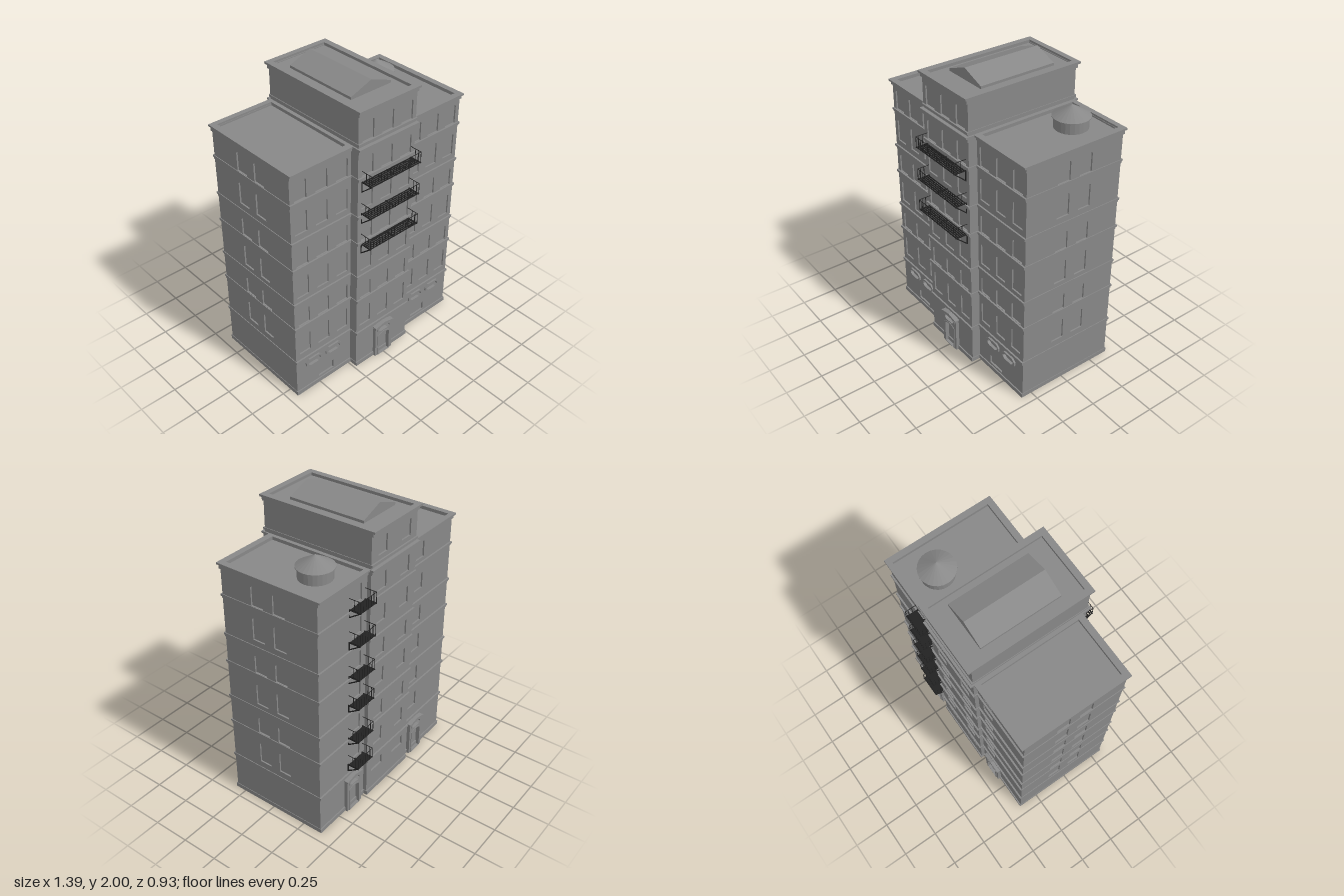
import * as THREE from 'three';
import { mergeGeometries } from 'three/addons/utils/BufferGeometryUtils.js';

const mat = new THREE.MeshStandardMaterial({ color: 0x888888, flatShading: true });
const ironMat = new THREE.MeshStandardMaterial({ color: 0x222222, flatShading: true });
const LEVELS = [[0.34, 0.5], [0.575, 0.705], [0.8, 0.96], [1.035, 1.17], [1.27, 1.43], [1.5, 1.64]];
const TOP_LEVEL = [1.73, 1.87];
const BACK_SILLS = [0.38, 0.595, 0.85, 1.065, 1.305, 1.525];
const T = 0.014; // thickness of the outer wall skin
// Wall faces: half widths, then front and back of wings and tower
const WX = 0.686, TX = 0.23, WF = 0.319, TF = 0.379, WB = 0.384, TB = 0.41;

function add(parent, name, geometry, material = mat) {
  const mesh = new THREE.Mesh(geometry, material);
  mesh.name = name;
  parent.add(mesh);
  return mesh;
}

const poly = (pts) => pts.map(([x, y]) => new THREE.Vector2(x, y));
const rect = (x0, y0, x1, y1) => poly([[x0, y0], [x1, y0], [x1, y1], [x0, y1]]);
const box = (x0, x1, y0, y1, z0, z1) =>
  new THREE.BoxGeometry(x1 - x0, y1 - y0, z1 - z0).translate((x0 + x1) / 2, (y0 + y1) / 2, (z0 + z1) / 2);

function extrude(outline, holes, depth) {
  const shape = new THREE.Shape(outline);
  shape.holes = holes.map((h) => new THREE.Path(h));
  return new THREE.ExtrudeGeometry(shape, { depth, bevelEnabled: false });
}

// Horizontal slab from a plan outline, shape y being -z
const slab = (outline, holes, y0, y1) =>
  extrude(outline, holes, y1 - y0).rotateX(-Math.PI / 2).translate(0, y0, 0);

// Cross-shaped plan of wings plus tower, offset by o; mouldings stand out less at the sides
function plan(o) {
  const ox = o < 0 ? o : 0.4 * o;
  const t = TX + ox, w = WX + ox, tf = -TF - o, wf = -WF - o, wb = WB + o, tb = TB + o;
  return poly([[-w, wf], [-t, wf], [-t, tf], [t, tf], [t, wf], [w, wf],
    [w, wb], [t, wb], [t, tb], [-t, tb], [-t, wb], [-w, wb]]);
}

// Window opening with a shallow segmental arch
function arched(cx, [y0, y1], w = 0.09) {
  const pts = [[cx - w / 2, y0], [cx + w / 2, y0]];
  for (let i = 0; i <= 8; i++) {
    const u = 1 - i / 4;
    pts.push([cx + u * w / 2, y1 - 0.018 * u * u]);
  }
  return poly(pts);
}

// Long eight-sided opening
const octagon = (cx, cy, w, h) => poly([[-1, -0.35], [-0.65, -1], [0.65, -1], [1, -0.35],
  [1, 0.35], [0.65, 1], [-0.65, 1], [-1, 0.35]].map(([a, b]) => [cx + a * w / 2, cy + b * h / 2]));

// Wall skin with openings; angle turns it to face its side
function wall(parent, name, x0, x1, y0, y1, holes, face, angle) {
  const m = add(parent, name, extrude(rect(x0, y0, x1, y1), holes, T).translate(0, 0, face - T));
  m.rotation.y = angle;
}

// Door surround with low pediment, leaf frame and fanlight
function doorway(parent, name, x, face, angle) {
  const g = new THREE.Group();
  g.name = name;
  const holes = [arched(0, [0.004, 0.19], 0.105), octagon(0, 0.223, 0.11, 0.044)];
  add(g, 'doorSurround', extrude(poly([[-0.075, 0], [0.075, 0], [0.075, 0.25], [0, 0.265], [-0.075, 0.25]]), holes, 0.024));
  add(g, 'doorHood', extrude(poly([[-0.08, 0.247], [0.08, 0.247], [0.08, 0.255], [0, 0.272], [-0.08, 0.255]]), [], 0.032));
  add(g, 'doorFrame', extrude(arched(0, [0, 0.19], 0.112), [arched(0, [0.004, 0.182], 0.092)], 0.028));
  add(g, 'fanlightFrame', extrude(octagon(0, 0.223, 0.116, 0.05), [octagon(0, 0.223, 0.096, 0.036)], 0.028));
  g.rotation.y = angle;
  g.position.set(x, 0, face);
  parent.add(g);
}

// Iron balcony: slatted deck, railing and diagonal brackets; wall at z = 0
function balcony(parent, name, w, d, drop, nSlats, pos, angle) {
  const h = w / 2, r = 0.0014, parts = [];
  for (let i = 0; i < nSlats; i++) {
    const z = 0.012 + (d - 0.015) * i / (nSlats - 1);
    parts.push(box(-h, h, -0.003, 0.003, z - 0.003, z + 0.003));
  }
  for (const x of [-h, 0, h]) parts.push(box(x - 0.003, x + 0.003, -0.007, -0.001, 0, d));
  const n = Math.round(w / 0.025);
  for (let i = 0; i <= n; i++) {
    const x = -h + w * i / n;
    parts.push(box(x - r, x + r, 0, 0.072, d - 2 * r, d));
  }
  parts.push(box(-h, h, 0.069, 0.072, d - 2 * r, d));
  for (const s of [-h, h]) {
    for (const z of [d * 0.45, d * 0.75]) parts.push(box(s - r, s + r, 0, 0.072, z - r, z + r));
    parts.push(box(s - r, s + r, 0.069, 0.072, 0, d));
    parts.push(box(s - 0.003, s + 0.003, -drop, 0, 0, 0.005));
    const strut = new THREE.BoxGeometry(0.006, 0.006, Math.hypot(drop, d));
    parts.push(strut.rotateX(-Math.atan2(drop, d)).translate(s, -drop / 2, d / 2));
  }
  const m = add(parent, name, mergeGeometries(parts), ironMat);
  m.position.set(...pos);
  m.rotation.y = angle;
}

export function createModel() {
  const model = new THREE.Group();
  model.name = 'apartmentBuilding';
  const Q = Math.PI / 2;

  // Hollow ground storey, open underneath, with solid cores above
  add(model, 'groundShell', slab(plan(-T + 0.002), [plan(-0.02)], 0, 0.28));
  add(model, 'plinth', slab(plan(0.008), [plan(-0.018)], 0, 0.03));
  for (const s of [-1, 1]) {
    const [a, b] = s > 0 ? [0.2, WX - 0.01] : [0.01 - WX, -0.2];
    add(model, 'wingCore', box(a, b, 0.28, 1.68, 0.01 - WB, WF - 0.01));
  }
  add(model, 'towerCore', box(0.01 - TX, TX - 0.01, 0.28, 1.925, 0.01 - TB, TF - 0.01));

  // Walls
  const windows = (xs, levels) => xs.flatMap((x) => levels.map((l) => arched(x, l)));
  for (const s of [-1, 1]) {
    const holes = windows([0.3, 0.455, 0.61].map((x) => x * s), LEVELS);
    for (const x of [0.38, 0.545]) {
      holes.push(octagon(x * s, 0.225, 0.12, 0.056));
      add(model, 'octagonWindowFrame', extrude(octagon(x * s, 0.225, 0.132, 0.068),
        [octagon(x * s, 0.225, 0.102, 0.042)], 0.02)).position.z = WF - 0.008;
    }
    // Cellar vent
    const v = s > 0 ? 0.408 : -0.44;
    holes.push(rect(v - 0.063, 0.045, v + 0.063, 0.11));
    const [a, b] = s > 0 ? [TX - 0.005, WX] : [-WX, 0.005 - TX];
    wall(model, 'wingFrontWall', a, b, 0, 1.69, holes, WF, 0);
    // Back wall; its own x runs the other way
    const back = BACK_SILLS.map((y) => rect(-s * 0.325 - 0.045, y, -s * 0.325 + 0.045, y + 0.11));
    wall(model, 'wingBackWall', -b, -a, 0, 1.69, back, WB, Math.PI);
    // Side wall with two windows per floor
    const [c, d] = s > 0 ? [-WF, WB] : [-WB, WF];
    wall(model, 'wingSideWall', c, d, 0, 1.69, windows([-s * 0.05, s * 0.11], LEVELS), WX, s * Q);
    // Tower flanks, leaving the ground storey open inside
    const [e, f] = s > 0 ? [-TF, TB] : [-TB, TF];
    wall(model, 'towerSideWall', e, f, 0.28, 1.93, [], TX, s * Q);
    const [g, h] = s > 0 ? [TX - T, TX] : [-TX, T - TX];
    add(model, 'towerFrontReturn', box(g, h, 0, 0.28, WF - T, TF));
    add(model, 'towerBackReturn', box(g, h, 0, 0.28, -TB, T - WB));
  }
  wall(model, 'towerFrontWall', -TX, TX, 0, 1.93,
    windows([-0.155, 0, 0.155], [...LEVELS, TOP_LEVEL]), TF, 0);
  const towerBack = [-0.12, 0.12].flatMap((x) => [
    rect(x - 0.06, 0.165, x + 0.06, 0.235),
    ...[...BACK_SILLS, 1.76].map((y) => rect(x - 0.045, y, x + 0.045, y + 0.11))]);
  wall(model, 'towerBackWall', -TX, TX, 0, 1.93, towerBack, TB, Math.PI);

  // Ledges between the floors
  for (const y of [0.29, 0.567, 0.765, 1.028, 1.225, 1.493]) {
    add(model, 'floorLedge', slab(plan(0.005), [], y - 0.02, y - 0.008));
    add(model, 'floorLedgeLip', slab(plan(0.011), [], y - 0.008, y + 0.006));
  }
  add(model, 'towerLedge', box(-TX - 0.004, TX + 0.004, 1.715, 1.73, -TB - 0.01, TF + 0.01));

  // Cornices with sunken roofs
  const wingRoofs = [rect(0.255, -0.3, 0.655, 0.373), rect(-0.655, -0.3, -0.255, 0.373)];
  add(model, 'wingCornice', slab(plan(0.01), wingRoofs, 1.665, 1.69));
  add(model, 'wingCorniceLip', slab(plan(0.023), wingRoofs, 1.69, 1.702));
  const towerRoof = [rect(-0.2, -0.36, 0.2, 0.402)];
  add(model, 'towerCornice', slab(rect(-0.234, -0.389, 0.234, 0.422), towerRoof, 1.905, 1.93));
  add(model, 'towerCorniceLip', slab(rect(-0.241, -0.401, 0.241, 0.438), towerRoof, 1.93, 1.944));

  // Gabled skylight on the tower
  add(model, 'skylight', extrude(poly([[-0.156, 1.92], [0.156, 1.92], [0.156, 1.942], [0, 2], [-0.156, 1.942]]), [], 0.535))
    .position.z = -0.3;

  // Water tank
  const tank = new THREE.Group();
  tank.name = 'waterTank';
  add(tank, 'tankBody', new THREE.CylinderGeometry(0.105, 0.105, 0.08, 24).translate(0, 1.714, 0));
  add(tank, 'tankRim', new THREE.CylinderGeometry(0.117, 0.117, 0.005, 24).translate(0, 1.753, 0));
  add(tank, 'tankRoof', new THREE.ConeGeometry(0.117, 0.069, 24).translate(0, 1.79, 0));
  tank.position.set(0.455, 0, -0.19);
  model.add(tank);

  // Doors
  doorway(model, 'frontDoor', 0, TF, 0);
  for (const x of [-0.36, 0.36]) doorway(model, 'backDoor', x, -WB, Math.PI);

  // Iron balconies and back fire escape
  for (const y of [1.02, 1.245, 1.47]) balcony(model, 'frontBalcony', 0.4, 0.085, 0.075, 6, [0, y, TF], 0);
  for (const y of [0.37, 0.585, 0.84, 1.055, 1.295, 1.515])
    balcony(model, 'fireEscape', 0.15, 0.082, 0.055, 13, [0.325, y, -WB], Math.PI);
  return model;
}
